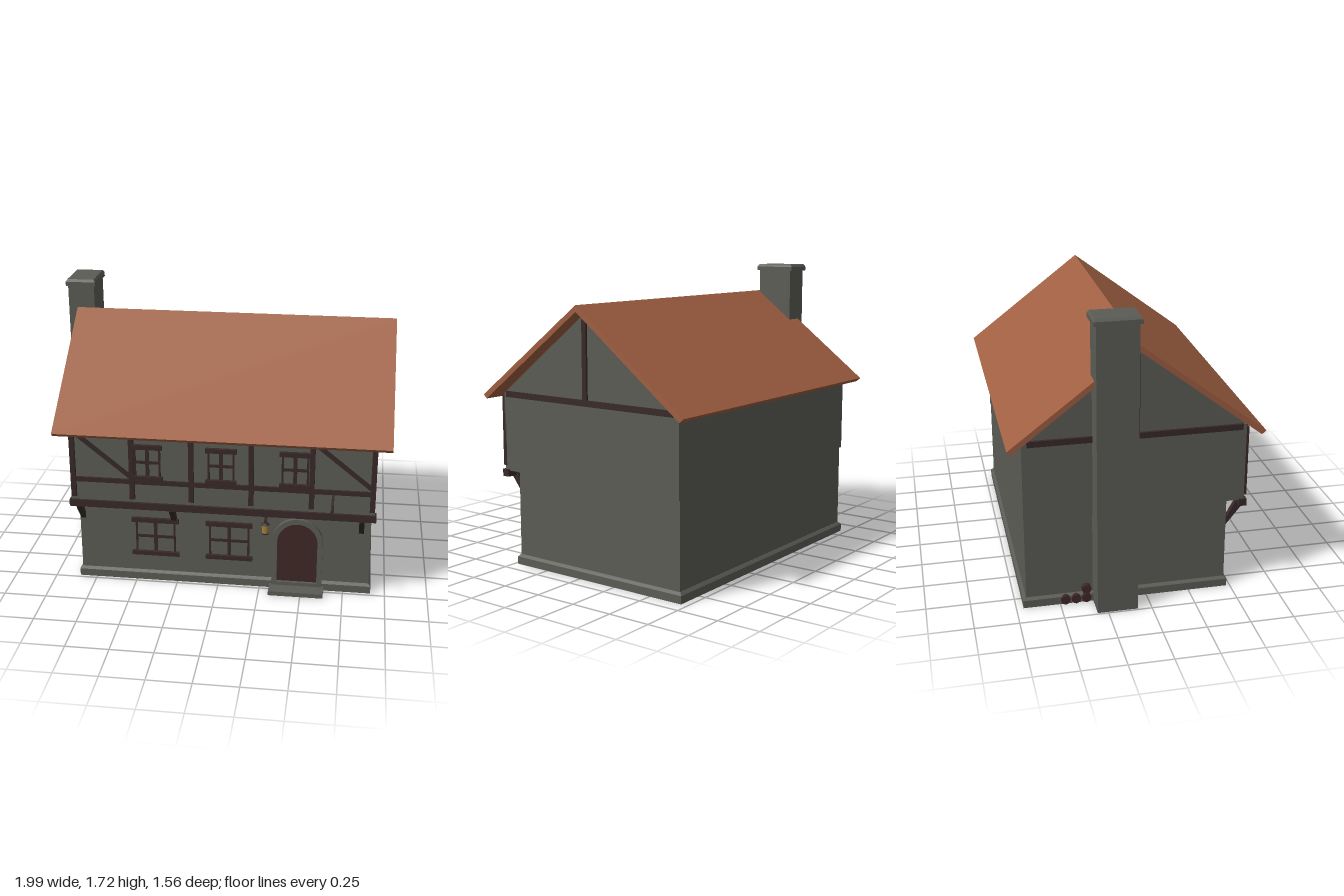
import * as THREE from 'three';

const mat = (name, color) => {
  const m = new THREE.MeshStandardMaterial({ color });
  m.name = name;
  return m;
};

export function createModel() {
  const model = new THREE.Group();
  model.name = 'timberHouse';
  const stone = mat('stone grey', 0x5c5c56);
  const wood = mat('dark timber', 0x38292a);
  const doorWood = mat('door brown', 0x402826);
  const tile = mat('roof clay', 0x9f5f41);
  const brass = mat('lantern brass', 0xa8873a);

  const add = (name, geo, material, parent = model) => {
    const m = new THREE.Mesh(geo, material);
    m.name = name;
    parent.add(m);
    return m;
  };
  // Box given by its limits; "inset" pulls the top face inwards
  const box = (name, x0, x1, y0, y1, z0, z1, material, inset = 0) => {
    const w = x1 - x0, d = z1 - z0;
    let geo = new THREE.BoxGeometry(w, y1 - y0, d);
    if (inset) {
      const p = geo.attributes.position;
      for (let i = 0; i < p.count; i++) {
        if (p.getY(i) > 0) p.setXYZ(i, p.getX(i) * (1 - 2 * inset / w), p.getY(i), p.getZ(i) * (1 - 2 * inset / d));
      }
      geo = geo.toNonIndexed();
      geo.computeVertexNormals();
    }
    geo.translate((x0 + x1) / 2, (y0 + y1) / 2, (z0 + z1) / 2);
    return add(name, geo, material);
  };
  // Profile in (z, y), swept along x
  const prism = (name, pts, x0, x1, material) => {
    const shape = new THREE.Shape(pts.map(([z, y]) => new THREE.Vector2(-z, y)));
    const geo = new THREE.ExtrudeGeometry(shape, { depth: x1 - x0, bevelEnabled: false });
    geo.rotateY(Math.PI / 2).translate(x0, 0, 0);
    return add(name, geo, material);
  };
  // Square timber between two points
  const beam = (name, a, b, w, d, material = wood) => {
    const p = new THREE.Vector3(...a), q = new THREE.Vector3(...b);
    const m = add(name, new THREE.BoxGeometry(w, d, p.distanceTo(q)), material);
    m.position.copy(p).add(q).multiplyScalar(0.5);
    m.lookAt(q);
    return m;
  };

  // Walls, with the upper storey overhanging the front
  box('plinth', -0.855, 0.915, 0, 0.045, -0.71, 0.48, stone);
  box('plinthBevel', -0.855, 0.915, 0.045, 0.06, -0.71, 0.48, stone, 0.014);
  box('groundFloor', -0.84, 0.9, 0.02, 0.56, -0.692, 0.465, stone);
  prism('upperFloor', [[0.56, 0.555], [0.56, 1.01], [-0.07, 1.505], [-0.695, 1.0], [-0.695, 0.555]], -0.86, 0.915, stone);

  // Roof
  prism('roof', [[0.645, 1.005], [0.622, 0.983], [-0.07, 1.512], [-0.757, 0.983], [-0.78, 1.005], [-0.07, 1.548]], -0.935, 0.995, tile);

  // Chimney
  box('chimney', -0.99, -0.83, 0, 1.69, -0.31, -0.08, stone);
  box('chimneyCap', -1, -0.82, 1.68, 1.705, -0.325, -0.065, stone);
  box('chimneyCapBevel', -1, -0.82, 1.705, 1.72, -0.325, -0.065, stone, 0.01);

  // Front timber frame
  box('sillBeam', -0.87, 0.925, 0.52, 0.562, 0.53, 0.575, wood);
  box('midRail', -0.855, 0.915, 0.682, 0.71, 0.55, 0.573, wood);
  for (let i = 0; i < 6; i++) {
    const x = -0.84 + i * 0.348;
    box('post', x - 0.015, x + 0.015, 0.585, 1.0, 0.55, 0.576, wood);
  }
  beam('leftBrace', [-0.83, 0.995, 0.562], [-0.5, 0.725, 0.562], 0.022, 0.024);
  beam('rightBrace', [0.56, 0.995, 0.562], [0.895, 0.725, 0.562], 0.022, 0.024);

  // Gable timbers
  for (const x of [-0.865, 0.917]) {
    box('gableBeam', x - 0.01, x + 0.01, 0.992, 1.026, -0.665, 0.535, wood);
    box('gablePost', x - 0.01, x + 0.01, 1.02, 1.47, -0.08, -0.05, wood);
  }

  // Brackets under the overhang
  for (const x of [-0.82, -0.265, 0.29, 0.845]) {
    const low = x === 0.29 ? 0.47 : 0.39;
    prism('bracket', [[0.56, 0.55], [0.56, 0.51], [0.465, low], [0.465, low + 0.04], [0.53, 0.55]], x - 0.015, x + 0.015, wood);
  }

  // Windows: lintel, sill and thin glazing bars
  const windowAt = (cx, y0, y1, ledge, half, z) => {
    box('sill', cx - ledge, cx + ledge, y0 - 0.025, y0, z - 0.02, z + 0.02, wood);
    box('lintel', cx - ledge, cx + ledge, y1, y1 + 0.027, z - 0.02, z + 0.02, wood);
    const my = (y0 + y1) / 2, f = z + 0.004;
    box('mullion', cx - 0.011, cx + 0.011, y0, y1, z - 0.01, f, wood);
    box('transom', cx - half, cx + half, my - 0.009, my + 0.009, z - 0.01, f, wood);
    for (const s of [-1, 1]) {
      const x = cx + s * half;
      box('jamb', x - 0.006, x + 0.006, y0, y1, z - 0.01, f, wood);
    }
  };
  windowAt(-0.38, 0.195, 0.39, 0.143, 0.115, 0.465);
  windowAt(0.065, 0.195, 0.39, 0.14, 0.115, 0.465);
  for (const cx of [-0.4, 0.03, 0.455]) windowAt(cx, 0.735, 0.905, 0.09, 0.072, 0.56);

  // Arched door, surround and step
  const arch = (r, y0, spring) => {
    const s = new THREE.Shape();
    s.moveTo(-r, y0);
    s.lineTo(r, y0);
    s.lineTo(r, spring);
    s.absarc(0, spring, r, 0, Math.PI, false);
    s.closePath();
    return s;
  };
  const surround = arch(0.15, 0.02, 0.32);
  surround.holes.push(arch(0.119, 0.05, 0.32));
  add('doorSurround', new THREE.ExtrudeGeometry(surround, { depth: 0.05, bevelEnabled: false, curveSegments: 8 }), stone)
    .position.set(0.473, 0, 0.443);
  add('door', new THREE.ExtrudeGeometry(arch(0.12, 0.05, 0.32), { depth: 0.02, bevelEnabled: false, curveSegments: 8 }), doorWood)
    .position.set(0.473, 0, 0.457);
  box('doorstep', 0.31, 0.635, 0, 0.027, 0.46, 0.575, stone);

  // Hanging lantern
  box('lanternArm', 0.28, 0.295, 0.475, 0.487, 0.46, 0.57, wood);
  const lantern = new THREE.Group();
  lantern.name = 'lantern';
  lantern.position.set(0.287, 0.4, 0.55);
  model.add(lantern);
  add('lanternBody', new THREE.CylinderGeometry(0.023, 0.019, 0.055, 6), brass, lantern).position.y = 0.03;
  add('lanternBase', new THREE.CylinderGeometry(0.022, 0.022, 0.006, 6), wood, lantern).position.y = 0.002;
  add('lanternCap', new THREE.CylinderGeometry(0.008, 0.027, 0.018, 6), wood, lantern).position.y = 0.066;

  // Sign bracket with its hangers
  box('signArm', 0.668, 0.682, 0.67, 0.685, 0.56, 0.78, wood);
  beam('signBrace', [0.675, 0.58, 0.56], [0.675, 0.677, 0.695], 0.012, 0.014);
  for (const z of [0.64, 0.758]) box('signHanger', 0.673, 0.677, 0.625, 0.672, z - 0.003, z + 0.003, wood);

  // Small log stack behind the chimney
  for (const [z, y] of [[-0.35, 0.03], [-0.41, 0.03], [-0.47, 0.03], [-0.35, 0.085]]) {
    const log = add('log', new THREE.CylinderGeometry(0.028, 0.028, 0.05, 8), doorWood);
    log.rotation.z = Math.PI / 2;
    log.position.set(-0.845, y, z);
  }
  return model;
}
